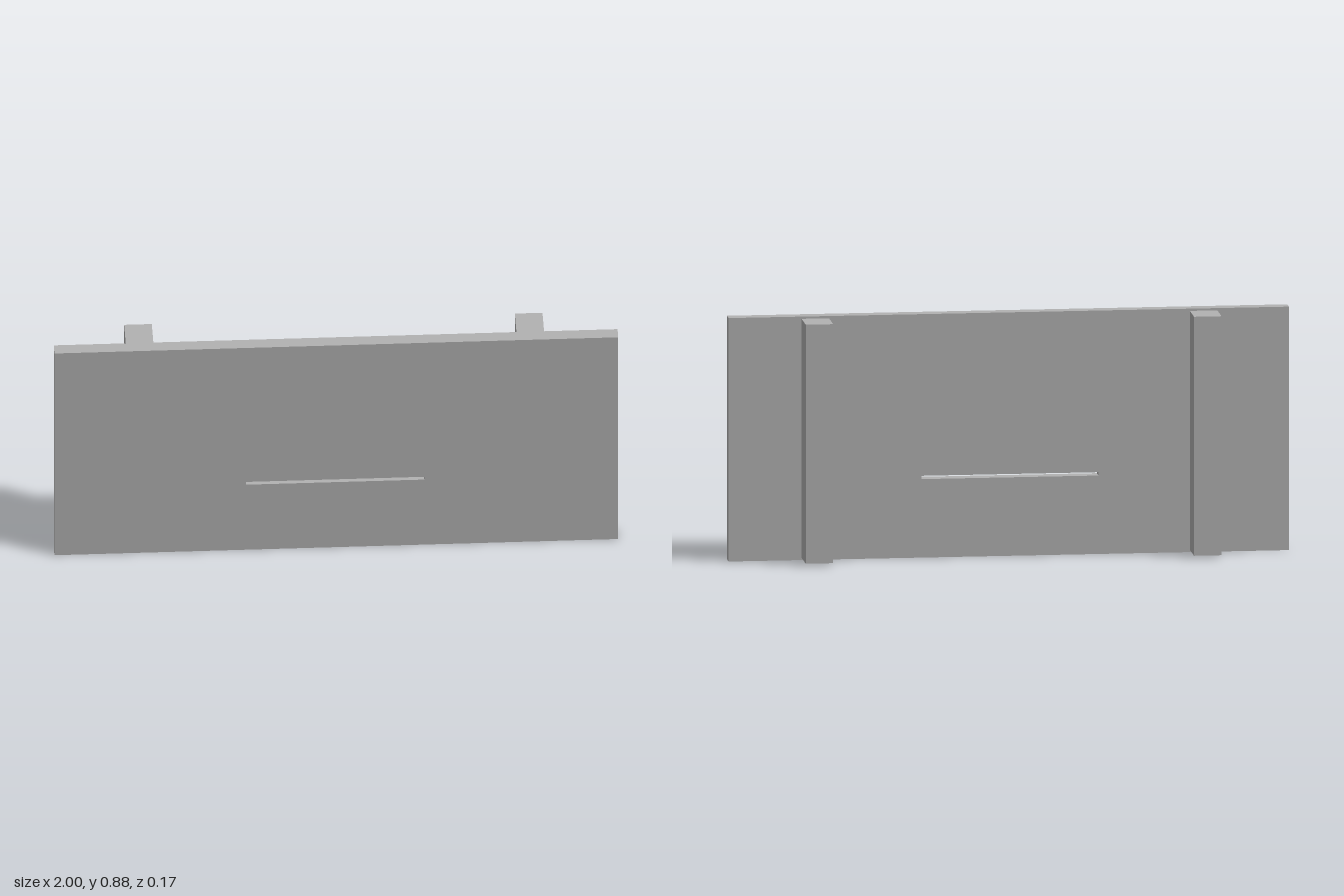
import * as THREE from 'three';

export function createModel() {
  const group = new THREE.Group();
  const grey = new THREE.MeshStandardMaterial({ color: 0xb2b2b2 });
  grey.name = 'grey';

  // Rectangle outline as a list of corners
  const rect = (x0, y0, x1, y1) => [
    new THREE.Vector2(x0, y0), new THREE.Vector2(x1, y0),
    new THREE.Vector2(x1, y1), new THREE.Vector2(x0, y1),
  ];

  // Front panel with a narrow slot cut through it
  const outline = new THREE.Shape(rect(-1, 0, 1, 0.875));
  outline.holes.push(new THREE.Path(rect(-0.32, 0.282, 0.312, 0.294).reverse()));
  const panelGeometry = new THREE.ExtrudeGeometry(outline, { depth: 0.05, bevelEnabled: false });
  panelGeometry.translate(0, 0, 0.0375);
  const panel = new THREE.Mesh(panelGeometry, grey);
  panel.name = 'frontPanel';
  group.add(panel);

  // Two upright battens behind the panel
  for (const [name, x] of [['rightBatten', -0.695], ['leftBatten', 0.691]]) {
    const batten = new THREE.Mesh(new THREE.BoxGeometry(0.098, 0.859, 0.125), grey);
    batten.position.set(x, 0.4375, -0.025);
    batten.name = name;
    group.add(batten);
  }

  return group;
}
